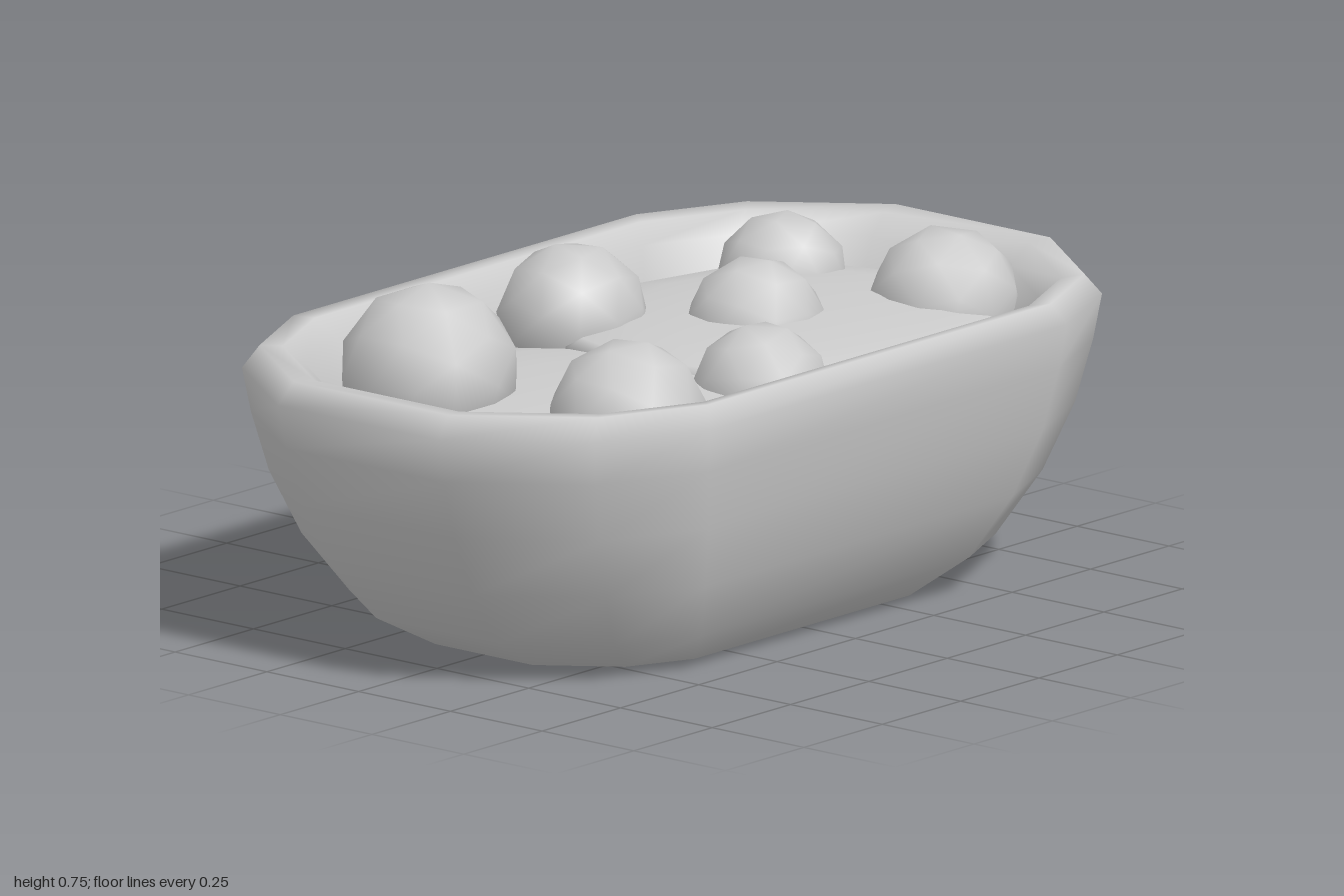
import * as THREE from 'three';
import { mergeVertices } from 'three/addons/utils/BufferGeometryUtils.js';

const material = new THREE.MeshStandardMaterial({ color: 0xcccccc });

// Twelve-cornered oval outline, as fractions of the half length and half width
const quarter = [[1, 0.373], [0.81, 0.814], [0.57, 1]];
const flip = (sx, sz) => quarter.map(([x, z]) => [x * sx, z * sz]);
const outline = [
  ...flip(1, 1), ...flip(-1, 1).reverse(),
  ...flip(-1, -1), ...flip(1, -1).reverse(),
];

// Bowl wall sections [half length, y, half width]: up the outside, over the rim, down the inside
const sections = [
  [0.60, 0, 0.355], [0.75, 0.08, 0.445], [0.86, 0.21, 0.51], [0.935, 0.35, 0.555],
  [0.98, 0.48, 0.577], [1, 0.575, 0.59], [0.96, 0.62, 0.565], [0.91, 0.615, 0.53],
  [0.86, 0.575, 0.50], [0.81, 0.50, 0.47], [0.74, 0.36, 0.43], [0.58, 0.14, 0.34],
];

function createBowl() {
  const n = outline.length;
  const positions = [];
  const index = [];
  for (const [halfX, y, halfZ] of sections) {
    for (const [x, z] of outline) positions.push(x * halfX, y, z * halfZ);
  }
  for (let s = 0; s < sections.length - 1; s++) {
    for (let i = 0; i < n; i++) {
      const a = s * n + i, b = s * n + (i + 1) % n;
      index.push(a, a + n, b, b, a + n, b + n);
    }
  }
  // Close the underside and the inner floor
  const bottom = positions.length / 3;
  positions.push(0, 0, 0, 0, 0.14, 0);
  const top = (sections.length - 1) * n;
  for (let i = 0; i < n; i++) {
    const j = (i + 1) % n;
    index.push(bottom, i, j);
    index.push(bottom + 1, top + j, top + i);
  }
  const geometry = new THREE.BufferGeometry();
  geometry.setAttribute('position', new THREE.Float32BufferAttribute(positions, 3));
  geometry.setIndex(index);
  geometry.computeVertexNormals();
  return new THREE.Mesh(geometry, material);
}

// Flattened mounds of filling: [x, y, half length, half height, half width]
const mounds = [
  [-0.31, 0.47, 0.49, 0.06, 0.455],
  [0.36, 0.51, 0.50, 0.055, 0.455],
];

// Round pieces: [x, z, radius, top]
const pieces = [
  [-0.54, -0.20, 0.19, 0.745], [-0.41, 0.23, 0.17, 0.67], [-0.02, 0.26, 0.147, 0.635],
  [0.07, -0.33, 0.16, 0.69], [0.29, 0.02 - 0.04, 0.15, 0.667], [0.645, -0.25, 0.14, 0.655],
  [0.685, 0.16, 0.16, 0.685],
];

export function createModel() {
  const model = new THREE.Group();
  model.name = 'filledBowl';

  const bowl = createBowl();
  bowl.name = 'bowl';
  model.add(bowl);

  const filling = new THREE.Group();
  filling.name = 'filling';
  for (const [x, y, rx, ry, rz] of mounds) {
    const mound = new THREE.Mesh(new THREE.SphereGeometry(1, 12, 8), material);
    mound.name = 'fillingMound';
    mound.scale.set(rx, ry, rz);
    mound.position.set(x, y, 0);
    filling.add(mound);
  }
  model.add(filling);

  // Low-poly balls, each turned differently
  const ball = new THREE.IcosahedronGeometry(1, 1);
  ball.deleteAttribute('uv');
  const ballGeometry = mergeVertices(ball);
  const toppings = new THREE.Group();
  toppings.name = 'toppings';
  pieces.forEach(([x, z, r, top], i) => {
    const piece = new THREE.Mesh(ballGeometry, material);
    piece.name = 'roundPiece';
    piece.scale.setScalar(r);
    piece.rotation.set(i * 0.4, i * 0.9, i * 0.3);
    piece.position.set(x, top - r * 0.97, z);
    toppings.add(piece);
  });
  model.add(toppings);
  return model;
}
